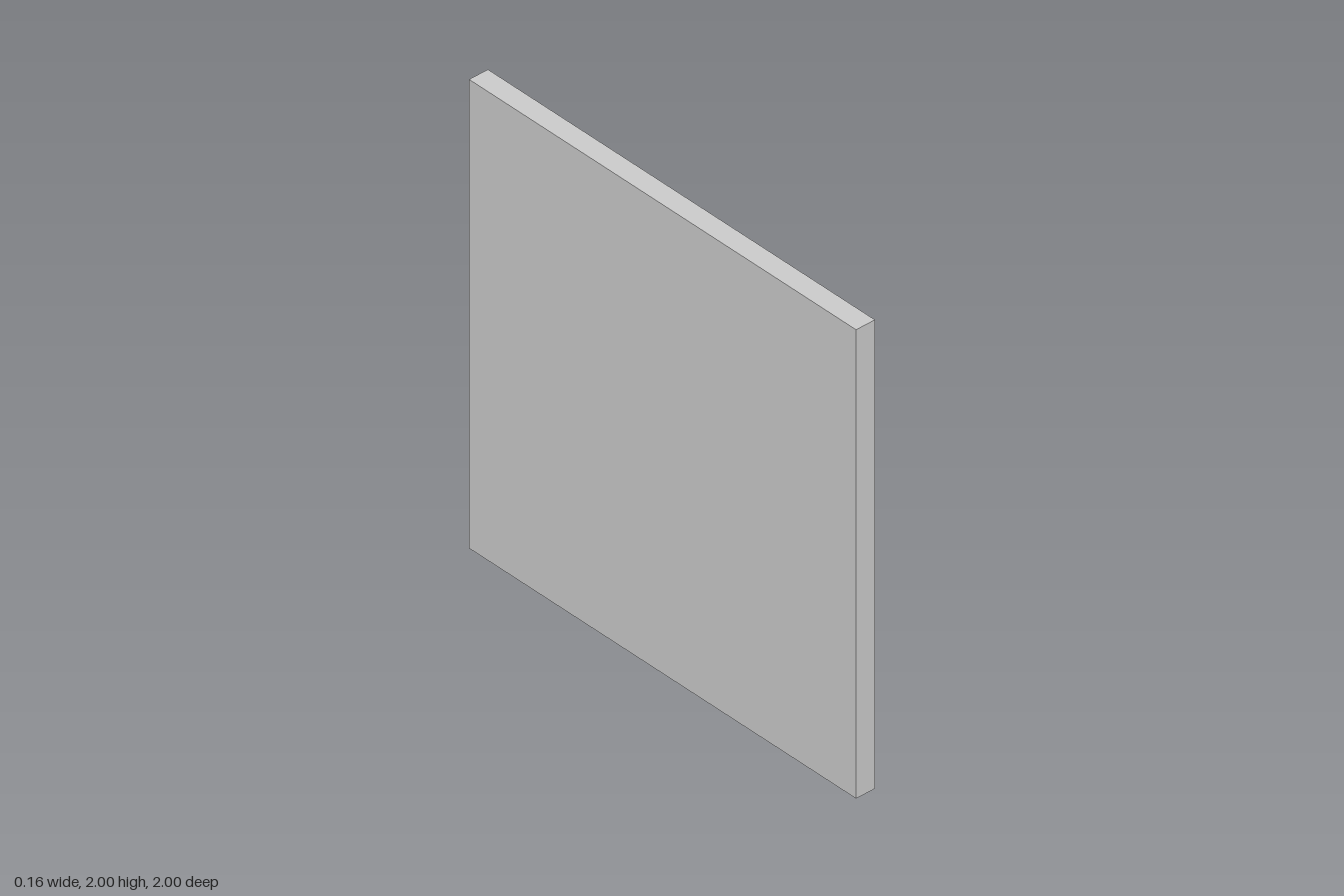
import * as THREE from 'three';

const material = new THREE.MeshStandardMaterial({ color: 0xcccccc });
const boardFace = 0.003;
const plateDepth = 0.023;

// Flat plate from a [z, y] outline, extruded towards +x from x = 0
function plate(name, outline) {
  const shape = new THREE.Shape(outline.map(([z, y]) => new THREE.Vector2(-z, y)));
  const geometry = new THREE.ExtrudeGeometry(shape, { depth: plateDepth, bevelEnabled: false });
  geometry.rotateY(Math.PI / 2);
  const mesh = new THREE.Mesh(geometry, material);
  mesh.name = name;
  return mesh;
}

// Slightly tapered round pin standing on a plate
function pin(name, z, y) {
  const height = 0.022;
  const geometry = new THREE.CylinderGeometry(0.03, 0.034, height, 32);
  geometry.rotateZ(-Math.PI / 2);
  const mesh = new THREE.Mesh(geometry, material);
  mesh.name = name;
  mesh.position.set(plateDepth + height / 2 - 0.003, y, z);
  return mesh;
}

export function createModel() {
  const model = new THREE.Group();
  model.name = 'wallPanel';

  // Square backing board
  const board = new THREE.Mesh(new THREE.BoxGeometry(0.088, 2, 2), material);
  board.name = 'board';
  board.position.set(boardFace - 0.044, 1, 0);
  model.add(board);

  // Lower plate, flat on the board
  const lower = new THREE.Group();
  lower.name = 'lowerPanel';
  lower.position.x = boardFace;
  lower.add(plate('lowerPlate', [[0.965, 0.05], [-0.14, 0.04], [-0.5, 0.69], [0.965, 0.67]]));
  [[-0.375, 0.62], [-0.1, 0.12]].forEach(([z, y]) => lower.add(pin('lowerPin', z, y)));
  model.add(lower);

  // Upper plate, leaning from the lower plate back to the board
  const upper = new THREE.Group();
  upper.name = 'upperPanel';
  upper.position.x = 0.043;
  upper.rotation.z = 0.0205;
  upper.add(plate('upperPlate', [
    [0.92, 0.26], [0.585, 0.31], [0.3, 0.17], [0.095, 0.14],
    [0.05, 1.42], [0.335, 1.555], [0.48, 1.96], [0.92, 1.75],
  ]));
  [[0.527, 1.85], [0.127, 1.365], [0.84, 0.345]].forEach(([z, y]) => upper.add(pin('upperPin', z, y)));
  model.add(upper);

  return model;
}
